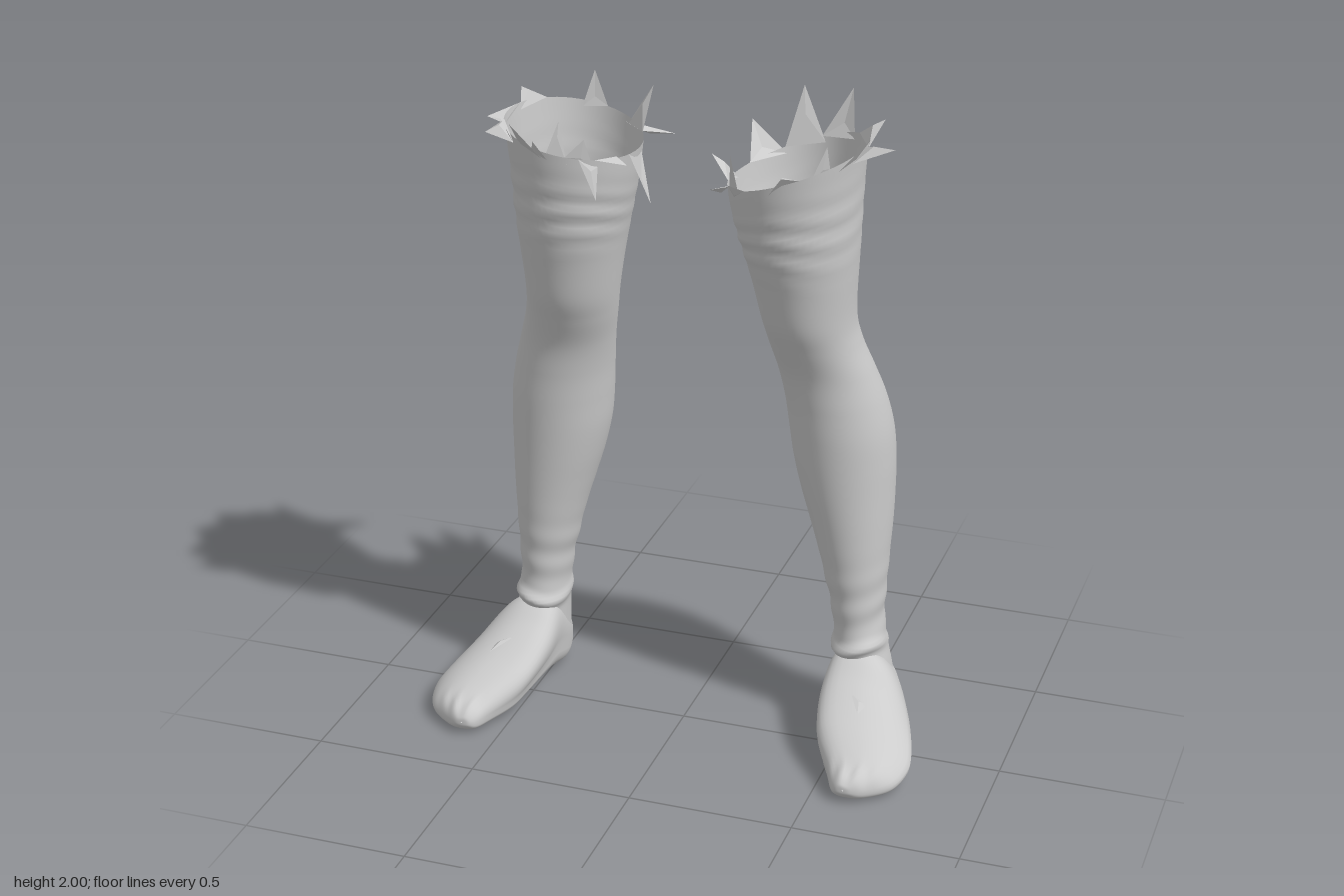
import * as THREE from 'three';

// Leg cross-sections: height, inner x, outer x, front z, back z
const LEG = [
  [0.02, 0.49, 0.58, -0.09, -0.25], [0.05, 0.46, 0.61, -0.06, -0.285], [0.11, 0.45, 0.62, -0.05, -0.3],
  [0.2, 0.445, 0.61, -0.05, -0.285], [0.3, 0.437, 0.592, -0.06, -0.265], [0.4, 0.427, 0.585, -0.06, -0.265],
  [0.5, 0.405, 0.59, -0.05, -0.275], [0.6, 0.38, 0.595, -0.04, -0.29], [0.7, 0.35, 0.6, -0.03, -0.31],
  [0.8, 0.32, 0.602, -0.02, -0.325], [0.9, 0.297, 0.602, -0.01, -0.33], [1.0, 0.285, 0.595, 0, -0.32],
  [1.1, 0.275, 0.575, 0.01, -0.295], [1.2, 0.26, 0.545, 0.027, -0.255], [1.3, 0.24, 0.513, 0.065, -0.225],
  [1.4, 0.222, 0.5, 0.105, -0.21], [1.6, 0.187, 0.51, 0.165, -0.225], [1.8, 0.155, 0.52, 0.2, -0.235],
  [1.92, 0.14, 0.53, 0.22, -0.24],
];

// Foot cross-sections: z, inner x, outer x, sole y, top y, inward lean of the instep
const FOOT = [
  [-0.29, 0.52, 0.55, 0.07, 0.1, 0], [-0.28, 0.475, 0.6, 0.035, 0.17, 0], [-0.2, 0.45, 0.645, 0.005, 0.23, 0.2],
  [-0.1, 0.45, 0.68, 0.02, 0.29, 0.4], [0, 0.457, 0.72, 0.03, 0.235, 0.5], [0.1, 0.475, 0.752, 0.022, 0.18, 0.5],
  [0.17, 0.495, 0.76, 0.01, 0.148, 0.4], [0.25, 0.535, 0.735, 0.008, 0.112, 0.25],
  [0.305, 0.56, 0.67, 0.015, 0.09, 0.1], [0.328, 0.58, 0.63, 0.035, 0.07, 0], [0.332, 0.603, 0.607, 0.05, 0.055, 0],
];

// Torn scraps round each rim: tip x, y, z and half-width in radians
const SCRAPS = {
  right: [
    [0.6, 1.89, 0.0, 0.3], [0.5, 1.96, 0.16, 0.15], [0.42, 1.97, 0.27, 0.22], [0.3, 1.97, 0.2, 0.15],
    [0.23, 1.92, 0.19, 0.2], [0.12, 1.84, 0.14, 0.25], [0.1, 1.68, 0.0, 0.22], [0.2, 1.74, 0.18, 0.14],
    [0.12, 1.8, -0.28, 0.3], [0.16, 1.97, -0.2, 0.25], [0.36, 1.98, -0.25, 0.2], [0.54, 1.95, -0.12, 0.25],
    [0.36, 1.92, 0.25, 0.12], [0.54, 1.9, 0.16, 0.25],
  ],
  left: [
    [0.14, 1.9, -0.2, 0.3], [0.08, 1.85, -0.01, 0.2], [0.1, 1.77, 0.07, 0.2], [0.18, 1.9, 0.13, 0.18],
    [0.19, 1.83, 0.18, 0.14], [0.37, 1.9, 0.27, 0.22], [0.47, 1.97, 0.17, 0.15], [0.63, 1.94, 0.05, 0.16],
    [0.58, 1.99, 0.12, 0.14], [0.55, 1.96, -0.14, 0.3], [0.42, 2.0, -0.27, 0.3], [0.28, 2.0, -0.25, 0.3],
  ],
};

const skin = new THREE.MeshStandardMaterial({ color: 0xcccccc, side: THREE.DoubleSide });
const torn = new THREE.MeshStandardMaterial({ color: 0xcccccc, side: THREE.DoubleSide, flatShading: true });

// Smooth interpolation through a table of stations, t in 0..1
function sample(table, t) {
  const n = table.length - 1;
  const i = Math.min(Math.floor(t * n), n - 1);
  const f = t * n - i;
  const at = k => table[Math.max(0, Math.min(n, k))];
  const [a, b, c, d] = [at(i - 1), at(i), at(i + 1), at(i + 2)];
  return b.map((v, k) => v + 0.5 * f * (c[k] - a[k]
    + f * (2 * a[k] - 5 * v + 4 * c[k] - d[k] + f * (3 * (v - c[k]) + d[k] - a[k]))));
}

// Closed rings of points joined into a smooth tube
function loft(cols, rows, point, flip) {
  const pos = [], index = [];
  for (let r = 0; r <= rows; r++) {
    for (let c = 0; c < cols; c++) pos.push(...point((c / cols) * Math.PI * 2, r / rows));
  }
  for (let r = 0; r < rows; r++) {
    for (let c = 0; c < cols; c++) {
      const a = r * cols + c, b = r * cols + (c + 1) % cols;
      const d = a + cols, e = b + cols;
      if (flip) index.push(a, d, b, b, d, e);
      else index.push(a, b, d, b, e, d);
    }
  }
  const g = new THREE.BufferGeometry();
  g.setAttribute('position', new THREE.Float32BufferAttribute(pos, 3));
  g.setIndex(index);
  g.computeVertexNormals();
  return g;
}

const bump = (x, centre, width) => Math.exp(-(((x - centre) / width) ** 2));

// Point on the leg, with cloth folds, ankle roll, kneecap and a slanted rim
function legPoint(a, t, slant) {
  const [y, xi, xo, zf, zb] = sample(LEG, t);
  const front = Math.max(0, Math.sin(a));
  let swell = 0.004 * Math.sin(y * 75 + 2 * Math.sin(a * 2 + 0.6)) * bump(y, 1.7, 0.1) * (0.3 + front);
  swell += (0.006 + 0.014 * front) * bump(y, 0.295 + 0.012 * Math.sin(a * 2), 0.018);
  swell += 0.006 * front ** 4 * bump(y, 1.38, 0.09);
  swell += 0.0025 * Math.sin(y * 60 + a) * bump(y, 0.42, 0.12);
  const rx = (xo - xi) / 2 + swell, rz = (zf - zb) / 2 + swell;
  const drop = slant * THREE.MathUtils.smoothstep(y, 1.45, 1.92) * (0.5 - 0.5 * Math.cos(a));
  return [(xi + xo) / 2 + rx * Math.cos(a), y - drop, (zf + zb) / 2 + rz * Math.sin(a)];
}

// Point on the foot: flattened sole, high inner instep, low outer edge
function footPoint(a, t) {
  const [z, xi, xo, y0, y1, lean] = sample(FOOT, t);
  const c = Math.cos(a), s = Math.sin(a);
  const rx = (xo - xi) / 2, mid = y0 + 0.38 * (y1 - y0);
  const x = (xi + xo) / 2 + rx * (Math.sign(c) * Math.abs(c) ** 0.85 - lean * Math.max(0, s));
  const y = s > 0 ? mid + (y1 - mid) * s : mid - (mid - y0) * Math.abs(s) ** 0.7;
  const toes = 0.004 * Math.sin((x - 0.53) * 130) * bump(z, 0.29, 0.05) * Math.max(0, s);
  return [x, Math.max(0, y + toes), z];
}

// Folded triangular scrap from two base points to a tip
function scrap(p, q, tip, fold) {
  const m = p.map((v, k) => (v + q[k]) * 0.3 + tip[k] * 0.4);
  m[1] += fold;
  const g = new THREE.BufferGeometry();
  g.setAttribute('position', new THREE.Float32BufferAttribute([p, m, tip, m, q, tip, p, q, m].flat(), 3));
  g.computeVertexNormals();
  return g;
}

function buildLeg(name, side, slant) {
  const leg = new THREE.Group();
  leg.name = name + 'Leg';
  const mirror = p => [p[0] * side, p[1], p[2]];
  const add = (part, geometry, material) => {
    const mesh = new THREE.Mesh(geometry, material);
    mesh.name = part;
    leg.add(mesh);
  };

  add('legSleeve', loft(56, 170, (a, t) => mirror(legPoint(a, t, slant)), side > 0), skin);
  add('foot', loft(40, 60, (a, t) => mirror(footPoint(a, t)), side < 0), skin);

  // Ragged rim
  SCRAPS[name].forEach(([x, y, z, w], i) => {
    const a = Math.atan2(z + 0.01, x - 0.335);
    const p = legPoint(a - w, 1, slant), q = legPoint(a + w, 0.985, slant);
    add('rimScrap', scrap(mirror(p), mirror(q), mirror([x, y, z]), i % 2 ? 0.02 : -0.015), torn);
  });

  // Small loose flap on the instep
  add('instepFlap', scrap(mirror([0.54, 0.21, 0.03]), mirror([0.6, 0.185, 0.04]),
    mirror([0.59, 0.195, 0.13]), 0.008), torn);
  return leg;
}

export function createModel() {
  const model = new THREE.Group();
  model.name = 'legPair';
  model.add(buildLeg('left', 1, 0.13), buildLeg('right', -1, 0.08));
  return model;
}
